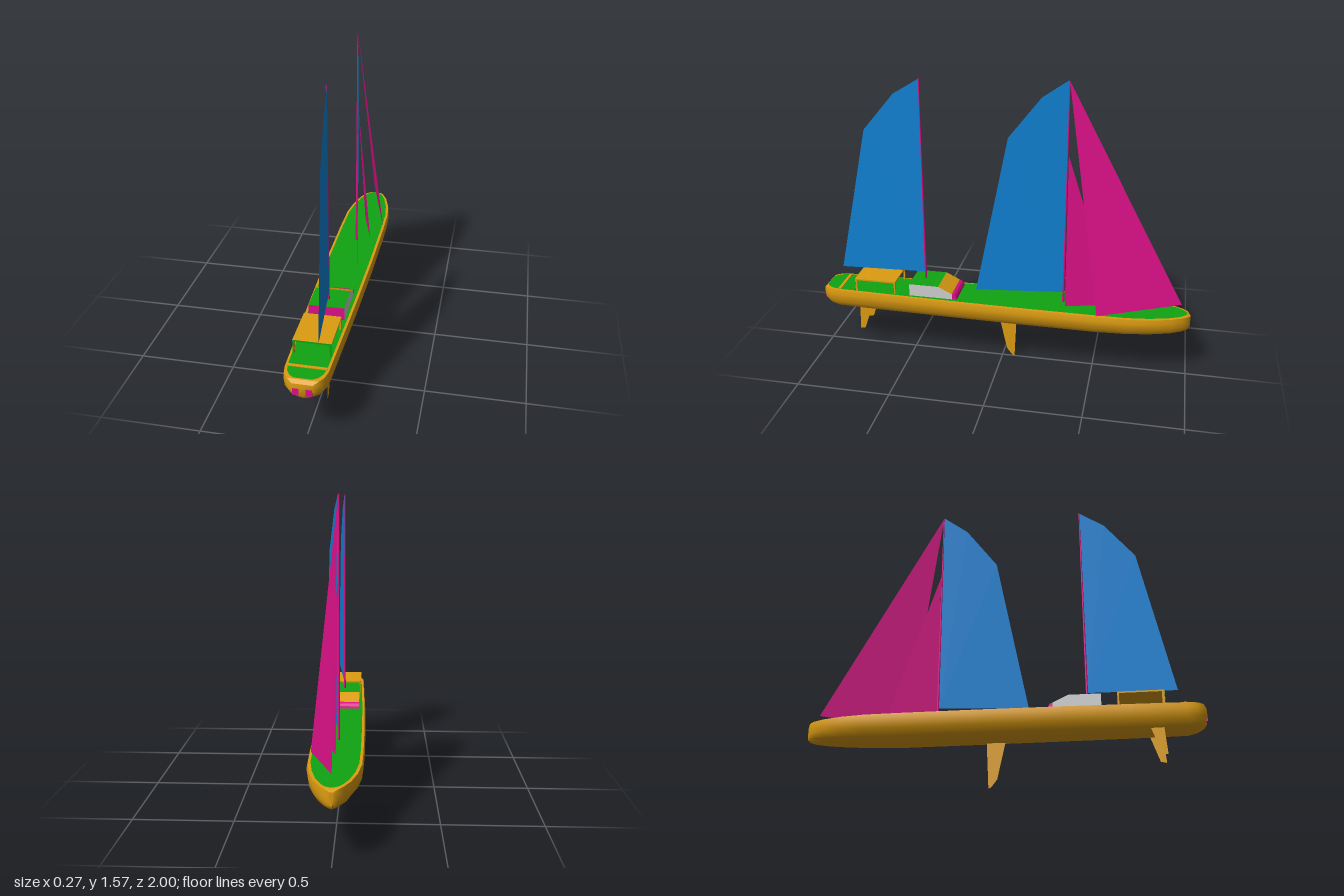
import * as THREE from 'three';
import { toCreasedNormals } from 'three/addons/utils/BufferGeometryUtils.js';

const paint = (name, color, double = false) => {
  const m = new THREE.MeshStandardMaterial({ color, side: double ? THREE.DoubleSide : THREE.FrontSide });
  m.name = name;
  return m;
};

// Stations along the hull: z, half beam, bottom y, top y
const STATIONS = [
  [-1, 0.008, 0.285, 0.352], [-0.985, 0.034, 0.27, 0.362], [-0.96, 0.055, 0.26, 0.364],
  [-0.9, 0.085, 0.25, 0.364], [-0.8, 0.113, 0.243, 0.364], [-0.68, 0.13, 0.236, 0.364],
  [-0.5, 0.133, 0.23, 0.364], [-0.1, 0.132, 0.23, 0.364], [0.3, 0.125, 0.23, 0.364],
  [0.65, 0.115, 0.23, 0.364], [0.91, 0.107, 0.232, 0.364], [0.955, 0.097, 0.243, 0.364],
  [0.985, 0.076, 0.26, 0.362], [1, 0.05, 0.282, 0.347],
];
// Half section: fraction of beam, fraction of height
const SECTION = [[0.96, 1], [1, 0.8], [0.95, 0.45], [0.72, 0.2], [0.36, 0.07], [0, 0]];

function hullGeometry() {
  const ring = [...SECTION, ...SECTION.slice(0, -1).reverse().map(([x, y]) => [-x, y])];
  const n = ring.length, pos = [], idx = [];
  for (const [z, b, y0, y1] of STATIONS)
    for (const [fx, fy] of ring) pos.push(fx * b, y0 + fy * (y1 - y0), z);
  const last = STATIONS.length - 1;
  for (let i = 0; i < last; i++)
    for (let j = 0; j < n; j++) {
      const a = i * n + j, c = i * n + (j + 1) % n;
      idx.push(a, a + n, c, c, a + n, c + n);
    }
  // Bow and stern caps
  for (let j = 1; j < n - 1; j++) {
    const s = last * n;
    idx.push(0, j, j + 1, s, s + j + 1, s + j);
  }
  const g = new THREE.BufferGeometry();
  g.setAttribute('position', new THREE.Float32BufferAttribute(pos, 3));
  g.setIndex(idx);
  return toCreasedNormals(g, 0.7);
}

// Flat polygon from 3D corners, fanned from the first
function sheet(points) {
  const g = new THREE.BufferGeometry().setFromPoints(points.map(p => new THREE.Vector3(...p)));
  const idx = [];
  for (let i = 1; i < points.length - 1; i++) idx.push(0, i, i + 1);
  g.setIndex(idx);
  const flat = g.toNonIndexed();
  flat.computeVertexNormals();
  return flat;
}

export function createModel() {
  const model = new THREE.Group();
  model.name = 'sailingYacht';
  const orange = paint('ochre', 0xdc9c10);
  const orangeThin = paint('ochre', 0xdc9c10, true);
  orangeThin.name = 'ochreSheet';
  const green = paint('deckGreen', 0x10a412, true);
  const blue = paint('sailBlue', 0x1084d8, true);
  const magenta = paint('magenta', 0xdc1088, true);
  const grey = paint('paleGrey', 0xd0d0d0, true);

  const add = (name, geometry, material, x = 0, y = 0, z = 0) => {
    const m = new THREE.Mesh(geometry, material);
    m.name = name;
    m.position.set(x, y, z);
    model.add(m);
    return m;
  };
  const box = (name, w, h, d, mat, x, y, z) => add(name, new THREE.BoxGeometry(w, h, d), mat, x, y, z);

  // Hull and inset deck
  add('hull', hullGeometry(), orange);
  const side = STATIONS.map(([z, b]) => new THREE.Vector2(b * 0.86, -z * 0.982));
  const outline = [...side, ...side.map(p => new THREE.Vector2(-p.x, p.y)).reverse()];
  const deck = new THREE.ShapeGeometry(new THREE.Shape(outline));
  deck.rotateX(-Math.PI / 2);
  add('deck', deck, green, 0, 0.3665, 0);
  box('sternTraveller', 0.185, 0.004, 0.016, orange, 0, 0.368, 0.897);

  // Stern windows
  for (const s of [-1, 1]) box('sternWindow', 0.03, 0.036, 0.009, magenta, s * 0.031, 0.303, 0.996);

  // Keel and twin rudders
  add('keel', sheet([[0, 0.24, 0.018], [0, 0.235, -0.078], [0, 0, -0.068], [0, 0.006, -0.055],
    [0, 0.045, -0.025]]), orangeThin);
  for (const s of [-1, 1])
    add('rudder', sheet([[s * 0.07, 0.265, 0.79], [s * 0.07, 0.265, 0.723], [s * 0.07, 0.125, 0.77],
      [s * 0.07, 0.118, 0.8]]), orangeThin);

  // Cabin: grey sides with coloured panels strung between them
  const W = 0.09;
  const panel = (name, mat, [z0, y0], [z1, y1]) =>
    add(name, sheet([[-W, y0, z0], [W, y0, z0], [W, y1, z1], [-W, y1, z1]]), mat);
  const profile = [[0.497, 0.36], [0.497, 0.434], [0.335, 0.434], [0.26, 0.397], [0.26, 0.36]];
  const nose = [[0.26, 0.397], [0.245, 0.391], [0.236, 0.378], [0.232, 0.36]];
  for (const s of [-1, 1]) {
    add('cabinSide', sheet(profile.map(([z, y]) => [s * W, y, z])), grey);
    add('cabinNoseSide', sheet([[s * W, 0.36, 0.26], ...nose.map(([z, y]) => [s * W, y, z])]), magenta);
  }
  panel('cabinAftWall', magenta, profile[0], profile[1]);
  panel('cabinRoof', green, profile[1], profile[2]);
  panel('cabinWindscreen', orangeThin, profile[2], profile[3]);
  for (let i = 0; i < nose.length - 1; i++) panel('cabinNose', magenta, nose[i], nose[i + 1]);

  // Cockpit canopy on four posts, with a green hoop on its aft face
  box('canopyRoof', 0.185, 0.008, 0.228, orange, 0, 0.434, 0.69);
  for (const s of [-1, 1]) {
    box('canopyAftPost', 0.008, 0.07, 0.012, orange, s * 0.088, 0.397, 0.797);
    box('canopyFrontPost', 0.008, 0.07, 0.008, orange, s * 0.088, 0.397, 0.58);
    box('canopyAftPostFace', 0.008, 0.07, 0.001, green, s * 0.088, 0.397, 0.8045);
  }
  box('canopyAftRail', 0.185, 0.008, 0.001, green, 0, 0.434, 0.8045);

  // Masts
  const mast = (name, z, top) =>
    add(name, new THREE.CylinderGeometry(0.003, 0.006, top - 0.36, 10), magenta, -0.003, (top + 0.36) / 2, z);
  mast('mainMast', -0.33, 1.565);
  mast('mizzenMast', 0.428, 1.54);

  // Boomed sails, swung out to the left: corners as [z, y]
  const sail = (name, swing, corners) =>
    add(name, sheet(corners.map(([z, y]) => [swing * (z - corners[0][0]), y, z])), blue);
  sail('mainSail', 0.195, [[-0.328, 0.425], [-0.328, 1.57], [-0.2, 1.485], [-0.038, 1.28], [0.126, 0.44]]);
  sail('mizzenSail', 0.11, [[0.43, 0.474], [0.43, 1.54], [0.56, 1.462], [0.72, 1.27], [0.882, 0.487]]);

  // Headsails
  add('jib', sheet([[0, 1.568, -0.33], [0, 0.414, -0.95], [0.122, 0.366, -0.52]]), magenta);
  add('staysail', sheet([[0, 1.19, -0.336], [0, 0.378, -0.6], [0.072, 0.38, -0.348]]), magenta);

  return model;
}
